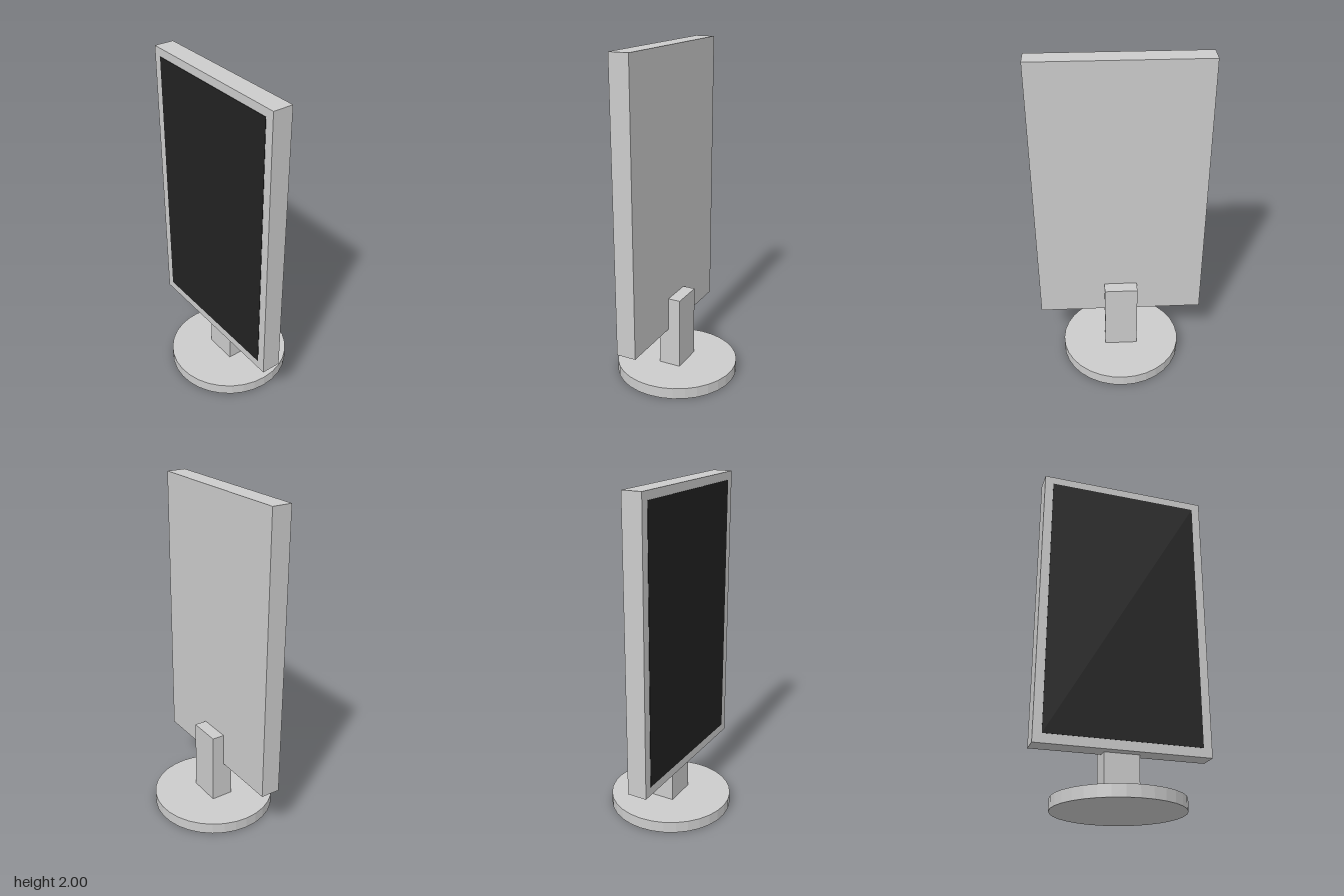
import * as THREE from 'three';

export function createModel() {
  const model = new THREE.Group();
  const grey = new THREE.MeshStandardMaterial({ color: 0xcccccc, flatShading: true });
  const dark = new THREE.MeshStandardMaterial({ color: 0x222222, flatShading: true });

  const add = (name, geometry, material, x, y, z) => {
    const mesh = new THREE.Mesh(geometry, material);
    mesh.name = name;
    mesh.position.set(x, y, z);
    model.add(mesh);
  };

  // Round foot
  add('base', new THREE.CylinderGeometry(0.372, 0.372, 0.068, 32), grey, 0, 0.034, 0);

  // Upright post, running up behind the panel
  add('stand', new THREE.BoxGeometry(0.203, 0.442, 0.136), grey, 0, 0.289, 0);

  // Portrait panel housing
  add('housing', new THREE.BoxGeometry(1.016, 1.694, 0.118), grey, 0, 1.153, 0.067);

  // Thin dark display, just proud of the housing front
  add('screen', new THREE.BoxGeometry(0.914, 1.592, 0.006), dark, 0, 1.156, 0.125);

  return model;
}
